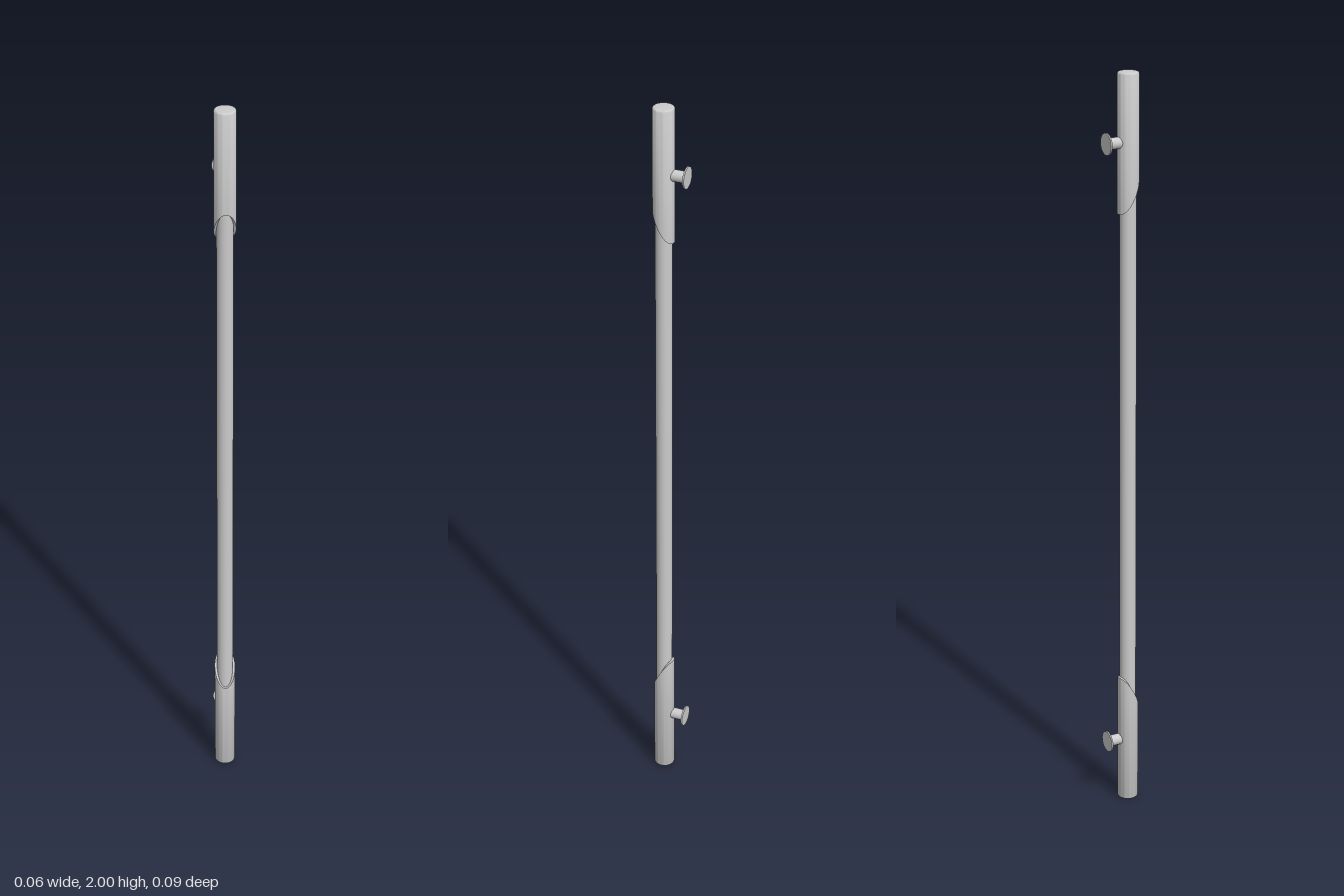
import * as THREE from 'three';
import { toCreasedNormals } from 'three/addons/utils/BufferGeometryUtils.js';

const AXIS_Z = 0.016;   // bar axis sits in front of the wall posts
const SLEEVE_R = 0.028;
const ROD_R = 0.0215;

const material = new THREE.MeshStandardMaterial({ color: 0xcccccc });

function addMesh(parent, name, geometry) {
  const mesh = new THREE.Mesh(geometry, material);
  mesh.name = name;
  parent.add(mesh);
  return mesh;
}

// Capped sleeve with a rounded outer end and a slanted inner end, high at the front
function sleeveGeometry() {
  const inner = 0.64, outer = 1, fillet = 0.006;
  const profile = [new THREE.Vector2(ROD_R - 0.002, inner), new THREE.Vector2(SLEEVE_R, inner)];
  for (let i = 0; i <= 5; i++) {
    const a = (i / 5) * Math.PI / 2;
    profile.push(new THREE.Vector2(
      SLEEVE_R - fillet + fillet * Math.cos(a),
      outer - fillet + fillet * Math.sin(a)
    ));
  }
  profile.push(new THREE.Vector2(0, outer));
  const geometry = new THREE.LatheGeometry(profile, 48);
  const p = geometry.attributes.position;
  for (let i = 0; i < p.count; i++) {
    if (p.getY(i) > inner + 0.001) continue;
    const radius = Math.hypot(p.getX(i), p.getZ(i));
    const t = Math.max(0, (p.getZ(i) / radius + 1) / 2);
    p.setY(i, inner + 0.09 * Math.pow(t, 1.4));
  }
  return toCreasedNormals(geometry, 0.6);
}

// One end of the handle: sleeve, standoff post and wall flange
function createEnd(name) {
  const end = new THREE.Group();
  end.name = name;
  addMesh(end, 'sleeve', sleeveGeometry()).position.z = AXIS_Z;

  const post = addMesh(end, 'post', new THREE.CylinderGeometry(0.015, 0.015, 0.056, 32));
  post.rotation.x = Math.PI / 2;
  post.position.set(0, 0.823, -0.017);

  const flange = addMesh(end, 'flange', new THREE.CylinderGeometry(0.028, 0.028, 0.004, 40));
  flange.rotation.x = Math.PI / 2;
  flange.position.set(0, 0.823, -0.0455);
  return end;
}

export function createModel() {
  const model = new THREE.Group();
  model.name = 'pullHandle';

  // Slim grip between the two sleeves
  const rod = addMesh(model, 'gripRod', new THREE.CylinderGeometry(ROD_R, ROD_R, 1.6, 48));
  rod.position.set(0, 1, AXIS_Z);

  // Matching ends, the lower one turned upside down
  const top = createEnd('topEnd');
  const bottom = createEnd('bottomEnd');
  bottom.rotation.z = Math.PI;
  for (const end of [top, bottom]) {
    end.position.y = 1;
    model.add(end);
  }
  return model;
}
